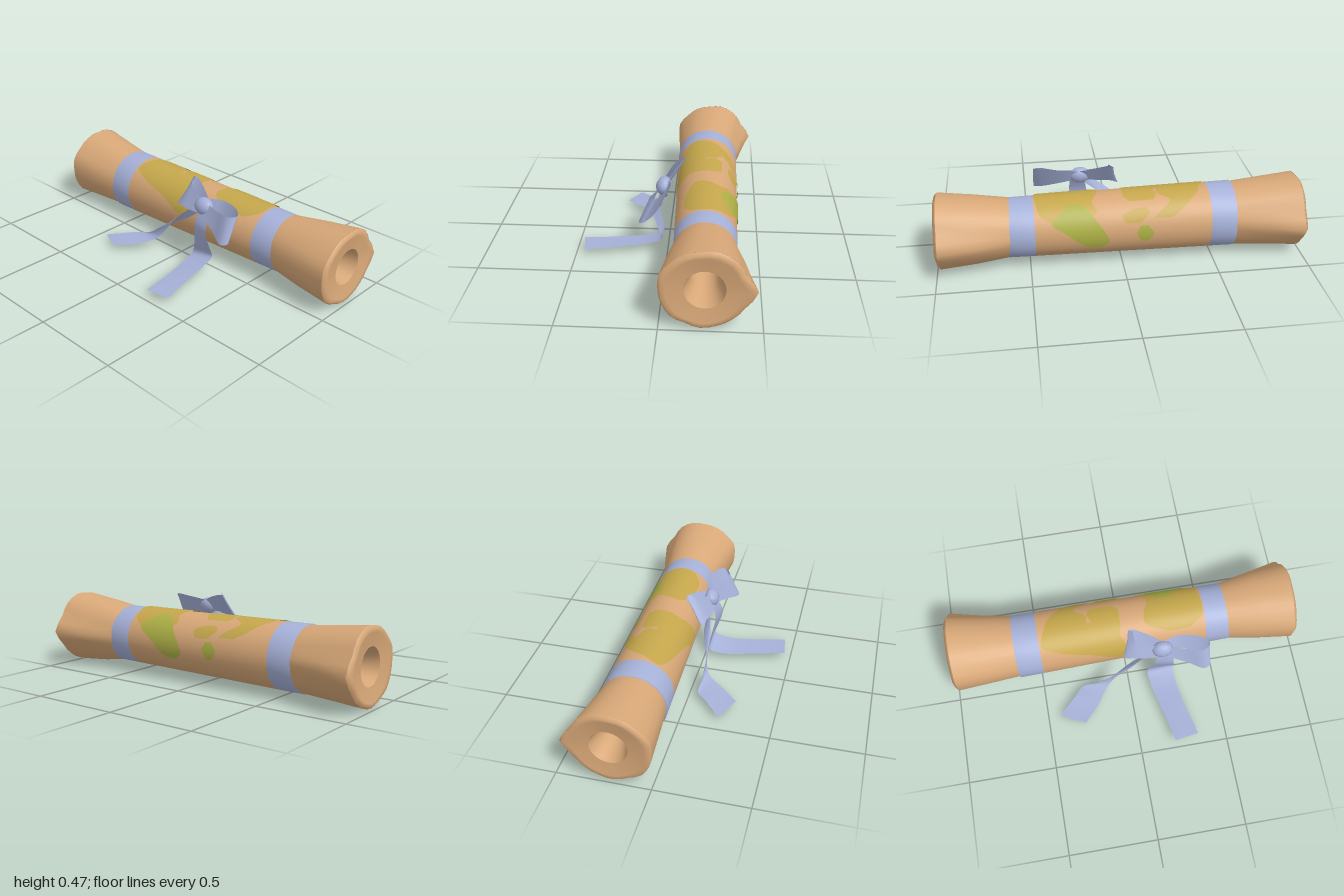
import * as THREE from 'three';

const mat = (name, color) => {
  const m = new THREE.MeshStandardMaterial({ color, side: THREE.DoubleSide });
  m.name = name;
  return m;
};

const SIDES = 32;
// outer radius of the flared paper ends, every 22.5 degrees from front over the top
const FLARE = [.2, .21, .2, .203, .205, .222, .23, .228, .27, .228, .215, .207, .206, .193, .203, .2];

const lerp = THREE.MathUtils.lerp;
const flareRadius = (a) => {
  const f = (a / (Math.PI * 2)) * 16, i = Math.floor(f) % 16;
  return lerp(FLARE[i], FLARE[(i + 1) % 16], f - Math.floor(f));
};

// grid of points -> smooth surface; closed joins the last column to the first
function gridGeometry(rows, closed) {
  const n = rows[0].length, idx = [];
  for (let i = 0; i < rows.length - 1; i++) {
    for (let j = 0; j < (closed ? n : n - 1); j++) {
      const a = i * n + j, b = i * n + ((j + 1) % n), c = a + n, d = b + n;
      idx.push(a, c, b, b, c, d);
    }
  }
  const g = new THREE.BufferGeometry();
  g.setAttribute('position', new THREE.Float32BufferAttribute(rows.flat(2), 3));
  g.setIndex(idx);
  g.computeVertexNormals();
  return g;
}

// ring around the roll: plain radius r blended towards the flared outline
function ring(x, r, cy, cz, flare = 0, scale = 1) {
  return Array.from({ length: SIDES }, (_, j) => {
    const a = (j / SIDES) * Math.PI * 2;
    const q = lerp(r, flareRadius(a), flare) * scale;
    return [x, cy + q * Math.sin(a), cz + q * Math.cos(a)];
  });
}

// wrapped middle sheet, tapering slightly to the left
const sheet = (x) => {
  const t = (x + 0.62) / 1.23;
  return [lerp(.181, .163, t), lerp(.203, .208, t), lerp(-.2, -.213, t)];
};
const sheetRing = (x, extra = 0) => {
  const [r, cy, cz] = sheet(x);
  return ring(x, r + extra, cy, cz);
};

// painted patch: rows of [angle in degrees, x from, x to] laid on the sheet
function patchGeometry(rows, lift) {
  const curve = new THREE.CatmullRomCurve3(rows.map((r) => new THREE.Vector3(...r)));
  const pts = curve.getPoints(rows.length * 5).map((p) => {
    const a = THREE.MathUtils.degToRad(p.x);
    return Array.from({ length: 7 }, (_, k) => {
      const x = lerp(p.z, p.y, k / 6), [r, cy, cz] = sheet(x);
      return [x, cy + (r + lift) * Math.sin(a), cz + (r + lift) * Math.cos(a)];
    });
  });
  return gridGeometry(pts, false);
}

// ribbon strip: path points and half-width vectors, both smoothed
function ribbonGeometry(path, halves) {
  const v = (l) => new THREE.CatmullRomCurve3(l.map((p) => new THREE.Vector3(...p)));
  const c = v(path), h = v(halves), N = 28;
  const rows = [];
  for (let i = 0; i <= N; i++) {
    const p = c.getPoint(i / N), w = h.getPoint(i / N);
    rows.push([-1, 0, 1].map((s) => p.clone().addScaledVector(w, s).toArray()));
  }
  return gridGeometry(rows, false);
}

export function createModel() {
  const group = new THREE.Group();
  const paper = mat('tan paper', 0xd8a878);
  const ribbon = mat('pale blue ribbon', 0xa6b1d8);
  const ochre = mat('ochre stain', 0xc5a74c);
  const green = mat('olive green stain', 0xadb046);
  const add = (name, geo, m) => {
    const mesh = new THREE.Mesh(geo, m);
    mesh.name = name;
    group.add(mesh);
    return mesh;
  };

  // flared ends
  add('leftFlare', gridGeometry([
    ring(-.975, 0, .21, -.2, 1), ring(-.8, .172, .207, -.2, .55), ring(-.6, .174, .203, -.203),
  ], true), paper);
  add('rightFlare', gridGeometry([
    ring(.59, .16, .21, -.213), ring(.78, .165, .21, -.207, .52), ring(.975, 0, .212, -.2, 1),
  ], true), paper);

  // end faces with a dished opening, and the hollow core
  const endFace = (s) => {
    const rows = [
      ring(s * .975, 0, .211, -.2, 1), ring(s * .99, 0, .211, -.2, 1, .93),
      ring(s * .985, .155, .21, -.21, .4), ring(s * .975, .1, .215, -.22),
    ];
    return gridGeometry(s > 0 ? rows : rows.reverse(), true);
  };
  add('rightEndFace', endFace(1), paper);
  add('leftEndFace', endFace(-1), paper);
  add('hollowCore', gridGeometry([
    ring(.975, .1, .215, -.22), ring(.86, .07, .215, -.22), ring(.6, .058, .215, -.22),
    ring(-.6, .058, .215, -.22), ring(-.86, .07, .215, -.22), ring(-.975, .1, .215, -.22),
  ], true), paper);

  // wrapped sheet and its two coloured bands
  add('middleSheet', gridGeometry([-.48, -.2, .1, .47].map((x) => sheetRing(x)), true), paper);
  add('leftBand', gridGeometry([sheetRing(-.62, -.012), sheetRing(-.62), sheetRing(-.48)], true), ribbon);
  add('rightBand', gridGeometry([sheetRing(.47), sheetRing(.61), sheetRing(.61, -.008)], true), ribbon);

  // stains on the sheet
  const stains = [
    ['leftStain', ochre, [[5, -.07, .02], [25, -.2, .01], [40, -.36, 0], [55, -.46, -.02], [75, -.46, -.01], [88, -.44, -.01]]],
    ['leftStainBack', ochre, [[88, -.44, -.2], [105, -.42, -.2], [120, -.38, -.26], [140, -.32, -.2], [152, -.26, -.16]]],
    ['leftStainSide', ochre, [[88, -.17, -.01], [105, -.19, -.01], [118, -.17, -.04]]],
    ['smallStain', ochre, [[132, -.13, -.07], [142, -.14, .0], [158, -.09, -.01]]],
    ['rightStain', ochre, [[48, .26, .38], [65, .14, .45], [90, .13, .465], [115, .16, .455], [135, .14, .44], [150, .2, .38]]],
    ['greenStain', green, [[118, .22, .29], [133, .18, .33], [152, .14, .38], [172, .1, .3], [190, .08, .24], [203, .12, .18]]],
    ['smallGreenStain', green, [[163, -.13, -.09], [178, -.16, -.07], [193, -.13, -.1]]],
  ];
  stains.forEach(([name, m, rows], i) => add(name, patchGeometry(rows, .003 + i * .0006), m));

  // bow loops
  add('rightBowLoop', ribbonGeometry(
    [[.2, .385, .01], [.3, .385, 0], [.42, .365, .045], [.455, .35, .085], [.42, .34, .11], [.32, .35, .075], [.2, .375, .04]],
    [[0, -.03, .015], [0, -.045, .02], [0, -.068, .03], [0, -.07, .035], [0, -.07, .03], [0, -.05, .02], [0, -.03, .015]],
  ), ribbon);
  add('leftBowLoop', ribbonGeometry(
    [[.2, .385, .01], [.12, .4, -.025], [.04, .41, -.05], [.008, .405, -.045], [.03, .395, -.005], [.11, .38, .025], [.2, .375, .04]],
    [[0, .03, -.015], [0, .045, -.025], [0, .055, -.035], [.01, .06, -.035], [.01, .06, -.035], [0, .045, -.025], [0, .03, -.015]],
  ), ribbon);

  // knot, squeezed at its middle
  const knotGeo = new THREE.SphereGeometry(1, 12, 8).scale(.06, .05, .04);
  const knot = add('bowKnot', knotGeo, ribbon);
  knot.position.set(.195, .378, .025);
  knot.rotation.x = -.4;

  // hanging tails that rest on the ground
  add('leftTail', ribbonGeometry(
    [[.19, .365, .015], [.07, .285, .025], [-.05, .195, .06], [-.13, .115, .06], [-.2, .06, .07], [-.27, .045, .15], [-.36, .035, .24]],
    [[.02, .03, 0], [.035, .05, .01], [.05, .04, .0], [.06, .03, 0], [.07, .01, .015], [.065, 0, .035], [.07, .005, .035]],
  ), ribbon);
  add('rightTail', ribbonGeometry(
    [[.21, .36, .03], [.205, .26, .065], [.2, .15, .045], [.19, .075, .03], [.195, .045, .11], [.23, .04, .28], [.27, .045, .458]],
    [[.04, 0, 0], [.05, 0, .01], [.065, .01, .01], [.075, .015, 0], [.07, .01, -.01], [.065, .004, -.01], [.068, 0, -.01]],
  ), ribbon);

  return group;
}
